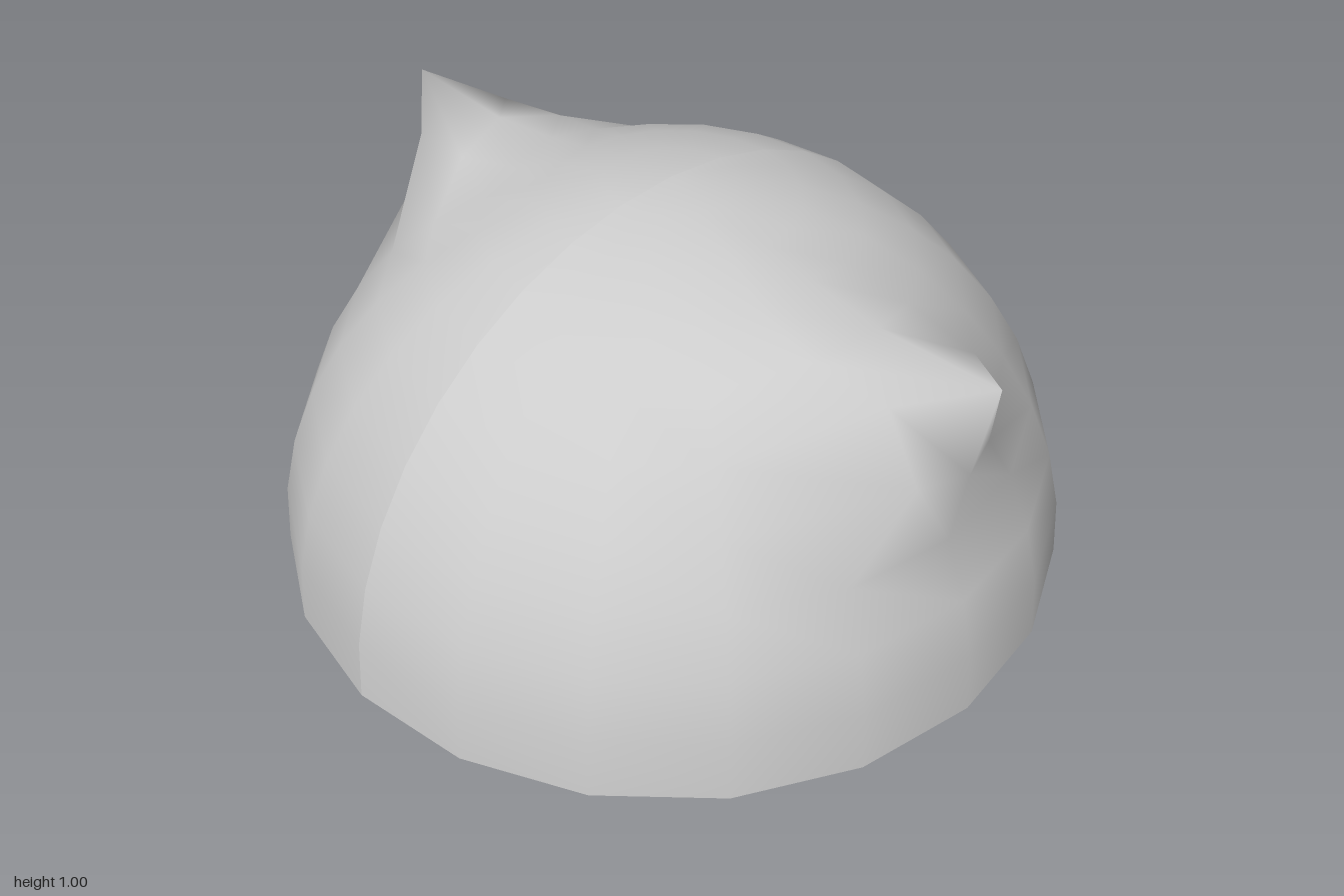
import * as THREE from 'three';
import { mergeVertices } from 'three/addons/utils/BufferGeometryUtils.js';

const SEGMENTS = 10, RINGS = 10, MIDDLE = SEGMENTS / 2;

// Pulled points of one pointed ear: [ring up from rim, columns from middle, x, y, z]
const EAR = [
  [4, 0, 0, 0.66, 0.925],
  [5, 0, 0, 0.915, 0.975],
  [6, 0, 0, 0.9, 0.645],
  [7, 0, 0, 0.925, 0.44],
  [4, 1, 0.12, 0.66, 0.88],
  [5, 1, 0.14, 0.845, 0.8],
  [6, 1, 0.16, 0.865, 0.6],
  [7, 1, 0.14, 0.9, 0.43],
];

// Open half dome with an ear drawn out of its middle
function halfDome() {
  const dome = new THREE.SphereGeometry(1, SEGMENTS, RINGS, 0, Math.PI, 0, Math.PI / 2);
  const pos = dome.attributes.position;
  for (const [ring, col, x, y, z] of EAR) {
    for (const side of col ? [-1, 1] : [1]) {
      const index = (RINGS - ring) * (SEGMENTS + 1) + MIDDLE + side * col;
      pos.setXYZ(index, side * x, y, z);
    }
  }
  // Weld the crown, then smooth the half by itself so the side seam stays
  dome.deleteAttribute('uv');
  dome.deleteAttribute('normal');
  const welded = mergeVertices(dome, 1e-4);
  welded.computeVertexNormals();
  return welded;
}

export function createModel() {
  const group = new THREE.Group();
  group.name = 'earedCap';
  const material = new THREE.MeshStandardMaterial({ color: 0xcccccc, side: THREE.DoubleSide });
  const geometry = halfDome();

  const front = new THREE.Mesh(geometry, material);
  front.name = 'frontShell';

  // Mirrored half
  const back = new THREE.Mesh(geometry, material);
  back.name = 'backShell';
  back.scale.z = -1;

  group.add(front, back);
  return group;
}
